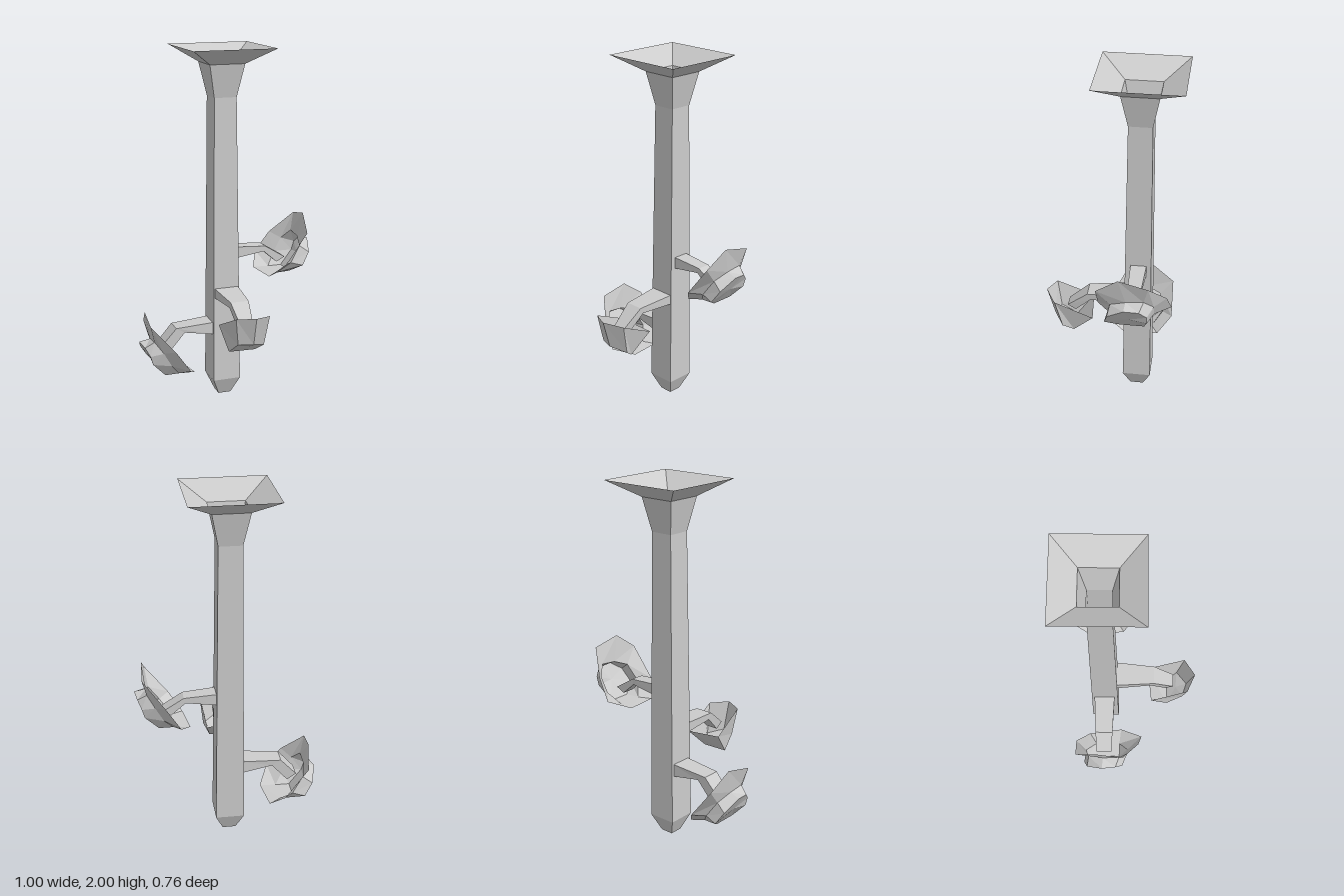
import * as THREE from 'three';

const grey = new THREE.MeshStandardMaterial({ color: 0xcccccc, flatShading: true, side: THREE.DoubleSide });

// Skin a list of equal-length rings of [x, y, z] points; optionally close the last ring.
function loft(name, rings, cap = true) {
  const pos = [];
  const tri = (a, b, c) => pos.push(...a, ...b, ...c);
  for (let r = 0; r < rings.length - 1; r++) {
    const a = rings[r], b = rings[r + 1], n = a.length;
    for (let i = 0; i < n; i++) {
      const j = (i + 1) % n;
      tri(a[i], b[i], b[j]);
      tri(a[i], b[j], a[j]);
    }
  }
  if (cap) {
    const last = rings[rings.length - 1], n = last.length;
    const mid = [0, 1, 2].map(k => last.reduce((s, p) => s + p[k], 0) / n);
    last.forEach((p, i) => tri(p, mid, last[(i + 1) % n]));
  }
  const geo = new THREE.BufferGeometry();
  geo.setAttribute('position', new THREE.Float32BufferAttribute(pos, 3));
  geo.computeVertexNormals();
  const mesh = new THREE.Mesh(geo, grey);
  mesh.name = name;
  return mesh;
}

// Square ring of the trunk at height y.
const square = (y, h) => {
  const x = -0.009, z = -0.15;
  return [[x - h, y, z + h], [x - h, y, z - h], [x + h, y, z - h], [x + h, y, z + h]].reverse();
};

// Bent bracket: sections are [topOut, topY, bottomOut, bottomY, halfWidth];
// place() turns (out, y, side) into a point.
const branch = (name, sections, place) => loft(name, sections.map(([to, ty, bo, by, w]) =>
  [place(to, ty, -w), place(to, ty, w), place(bo, by, w), place(bo, by, -w)]));

export function createModel() {
  const model = new THREE.Group();
  model.name = 'hangingColumn';

  // Hollow square column with flared open top and tapered foot
  const profile = [[2, 0.234], [1.912, 0.1], [1.73, 0.064], [0.1, 0.08], [0, 0.037]];
  model.add(loft('column', profile.map(([y, h]) => square(y, h))));

  // Large flower: flared rim, neck and rounded back
  const rim = [[0.457, 1.05, -0.085], [0.466, 1.015, -0.245], [0.35, 0.886, -0.335], [0.27, 0.77, -0.355],
    [0.21, 0.71, -0.23], [0.235, 0.705, -0.04], [0.305, 0.79, 0.04], [0.435, 0.96, 0.035]];
  const neck = [[0.44, 0.905, -0.125], [0.44, 0.915, -0.22], [0.4, 0.86, -0.27], [0.355, 0.78, -0.27],
    [0.3, 0.71, -0.22], [0.3, 0.71, -0.08], [0.36, 0.78, -0.02], [0.42, 0.87, -0.04]];
  const back = [[0.502, 0.89, -0.12], [0.49, 0.88, -0.2], [0.47, 0.84, -0.24], [0.455, 0.79, -0.24],
    [0.38, 0.71, -0.22], [0.38, 0.71, -0.09], [0.43, 0.76, -0.01], [0.475, 0.83, -0.03]];
  const large = [rim, neck, back];
  model.add(loft('leftFlower', large));

  // Same flower turned half round and set lower on the other side
  const turn = ([x, y, z]) => [-x, y - 0.53, -0.283 - z];
  model.add(loft('rightFlower', large.map(ring => ring.map(turn))));

  // Small front flower
  model.add(loft('frontFlower', [
    [[-0.1, 0.615, 0.335], [0, 0.622, 0.38], [0.098, 0.605, 0.32], [0.08, 0.5, 0.105], [-0.125, 0.515, 0.125]],
    [[-0.08, 0.46, 0.31], [0, 0.46, 0.335], [0.08, 0.43, 0.28], [0.05, 0.385, 0.22], [-0.1, 0.39, 0.22]],
  ]));

  // Bent branches carrying the flowers
  model.add(branch('leftBranch',
    [[0.04, 0.88, 0.04, 0.81, 0.045], [0.24, 0.865, 0.23, 0.835, 0.038], [0.36, 0.79, 0.31, 0.765, 0.037]],
    (o, y, s) => [o, y, -0.152 + s]));
  model.add(branch('rightBranch',
    [[0.07, 0.45, 0.07, 0.375, 0.06], [0.3, 0.435, 0.25, 0.405, 0.05], [0.39, 0.335, 0.34, 0.3, 0.045]],
    (o, y, s) => [-o, y, -0.152 - s]));
  model.add(branch('frontBranch',
    [[-0.08, 0.655, -0.08, 0.6, 0.07], [0.14, 0.64, 0.12, 0.605, 0.052], [0.255, 0.545, 0.21, 0.515, 0.037]],
    (o, y, s) => [-0.009 - s, y, o]));

  return model;
}
